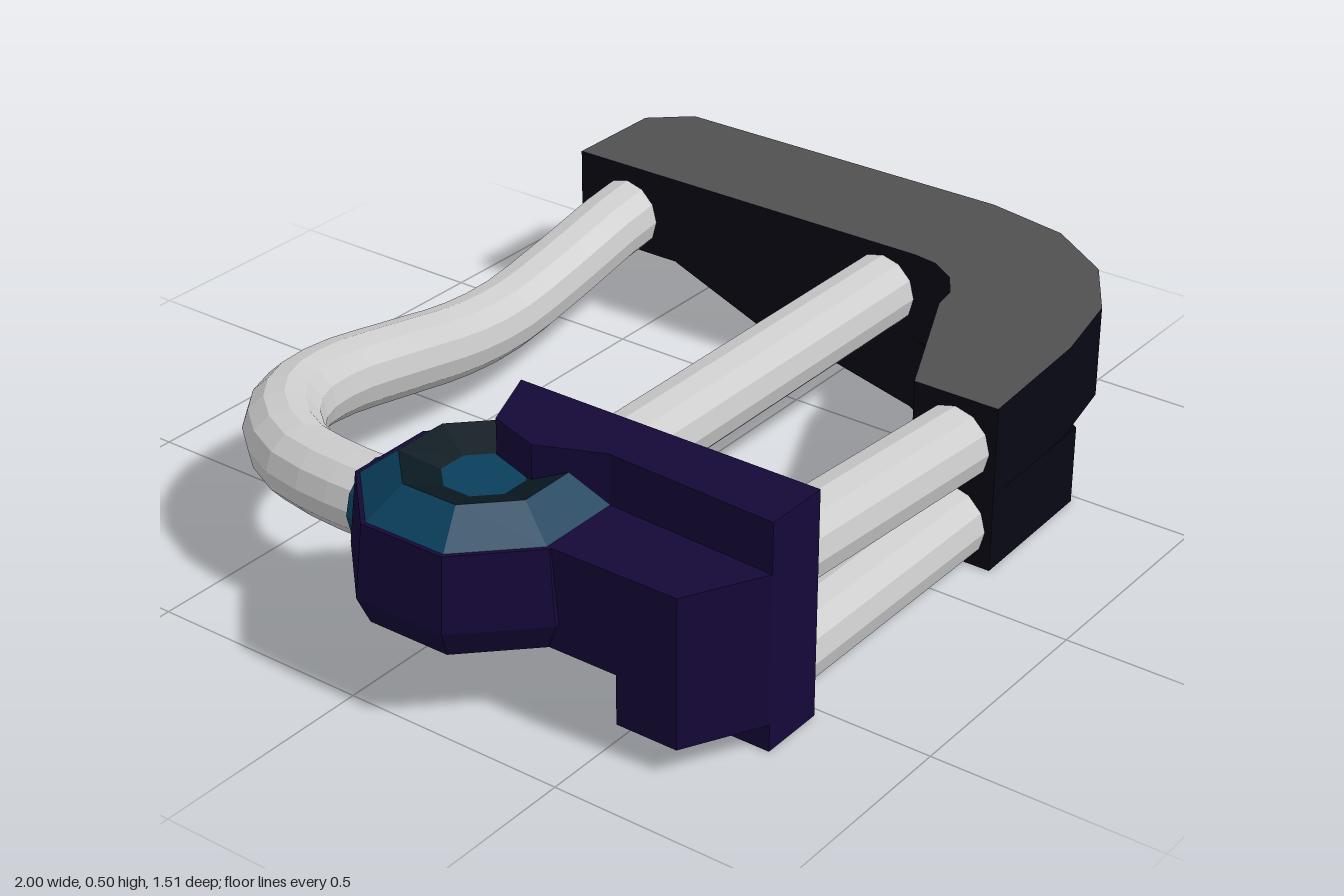
import * as THREE from 'three';

const mat = (color) => new THREE.MeshStandardMaterial({ color, flatShading: true, side: THREE.DoubleSide });
const grey = mat(0xcccccc), capGrey = mat(0x505050), dark = mat(0x070714);
const purple = mat(0x150838), teal = mat(0x0a3f5c), darkTeal = mat(0x0a1820);

export function createModel() {
  const root = new THREE.Group();
  const add = (name, geo, material) => {
    const m = new THREE.Mesh(geo, material);
    m.name = name;
    root.add(m);
    return m;
  };
  // plan outline (x, z) extruded between two heights
  const slab = (pts, y0, y1) =>
    new THREE.ExtrudeGeometry(new THREE.Shape(pts.map((p) => new THREE.Vector2(...p))), { depth: y1 - y0, bevelEnabled: false })
      .rotateX(Math.PI / 2).translate(0, y1, 0);
  // straight round bar between two points
  const bar = (name, a, b, r, material) => {
    const p = new THREE.Vector3(...a), q = new THREE.Vector3(...b);
    const m = add(name, new THREE.CylinderGeometry(r, r, p.distanceTo(q), 12), material);
    m.position.copy(p).lerp(q, 0.5);
    m.quaternion.setFromUnitVectors(new THREE.Vector3(0, 1, 0), q.sub(p).normalize());
  };

  // curved frame: grey top and bottom, dark sides
  add('frame', slab([
    [0.63, -0.72], [0.88, -0.72], [0.96, -0.63], [0.96, 0.22], [0.92, 0.42], [0.81, 0.58], [0.65, 0.68],
    [0.45, 0.72], [0.13, 0.74], [0.13, 0.54], [0.46, 0.39], [0.52, 0.38], [0.58, 0.34], [0.62, 0.28], [0.63, 0.22],
  ], 0.17, 0.38), [capGrey, dark]);

  // keel under the frame, tapering up towards the back: [outer x, z, inner x, z, bottom y]
  const stations = [
    [0.13, 0.74, 0.13, 0.54, 0], [0.48, 0.73, 0.4, 0.42, 0], [0.54, 0.65, 0.46, 0.39, 0], [0.68, 0.53, 0.54, 0.37, 0],
    [0.79, 0.24, 0.63, 0.22, 0], [0.79, -0.04, 0.63, -0.04, 0.06], [0.85, -0.04, 0.63, -0.04, 0.06],
    [0.85, -0.16, 0.63, -0.16, 0.06], [0.85, -0.44, 0.63, -0.44, 0.169],
  ];
  const strip = (edge) => {
    const pos = [], idx = [];
    stations.forEach((s, i) => {
      pos.push(...edge(s).flat());
      if (i) {
        const a = i * 2 - 2;
        idx.push(a, a + 1, a + 2, a + 1, a + 3, a + 2);
      }
    });
    const g = new THREE.BufferGeometry();
    g.setAttribute('position', new THREE.Float32BufferAttribute(pos, 3));
    g.setIndex(idx);
    g.computeVertexNormals();
    return g;
  };
  add('keelOuterSide', strip(([x, z, , , y]) => [[x, 0.18, z], [x, y, z]]), dark);
  add('keelBottom', strip(([x, z, u, w, y]) => [[x, y, z], [u, y, w]]), capGrey);
  add('keelInnerSide', strip(([, , u, w, y]) => [[u, y, w], [u, 0.18, w]]), dark);
  const end = add('keelEnd', new THREE.PlaneGeometry(0.2, 0.18), dark);
  end.rotation.y = -Math.PI / 2;
  end.position.set(0.13, 0.09, 0.64);

  // six-sided dome on the back corner of the frame, pointing diagonally out
  const knob = add('knob', new THREE.SphereGeometry(0.135, 6, 2, 0, Math.PI * 2, 0, Math.PI / 2)
    .rotateX(-Math.PI / 2).rotateY(-Math.PI / 4), grey);
  knob.scale.y = 0.89;
  knob.position.set(0.865, 0.275, -0.625);

  // straight bars
  bar('lowerFrontBar', [-0.6, 0.086, 0.64], [0.3, 0.086, 0.64], 0.085, grey);
  bar('upperFrontBar', [-0.6, 0.32, 0.64], [0.2, 0.265, 0.64], 0.085, grey);
  bar('middleBar', [-0.55, 0.27, 0.135], [0.7, 0.27, 0.135], 0.085, grey);

  // bent back bar, dipping in the middle
  const bends = [
    [0.7, 0.26, -0.583], [0.58, 0.25, -0.583], [0.38, 0.21, -0.583], [0.16, 0.175, -0.583], [0, 0.18, -0.583], [-0.2, 0.215, -0.583],
    [-0.41, 0.25, -0.583], [-0.55, 0.265, -0.555], [-0.66, 0.275, -0.48], [-0.73, 0.275, -0.37], [-0.75, 0.275, -0.24], [-0.75, 0.275, -0.05],
  ].map((p) => new THREE.Vector3(...p));
  const curve = new THREE.CatmullRomCurve3(bends, false, 'centripetal');
  add('backBar', new THREE.TubeGeometry(curve, 24, 0.085, 12), grey);

  // collars where the bars meet the hub
  bar('middleCollar', [-0.6, 0.27, 0.135], [-0.47, 0.27, 0.135], 0.09, teal);
  bar('backCollar', [-0.75, 0.275, 0], [-0.75, 0.275, -0.145], 0.09, teal);

  // octagonal hub
  const hubPart = (name, profile, material) => {
    const m = add(name, new THREE.LatheGeometry(profile.map((p) => new THREE.Vector2(...p)), 8, Math.PI / 8), material);
    m.position.set(-0.745, 0, 0.13);
  };
  hubPart('hubBody', [[0.04, 0.22], [0.08, 0.17], [0.25, 0.17], [0.277, 0.23], [0.26, 0.39], [0.245, 0.39]], purple);
  hubPart('hubBottomPlug', [[0, 0.2], [0.06, 0.2]], teal);
  hubPart('hubTopRim', [[0.25, 0.39], [0.17, 0.45]], teal);
  hubPart('hubRecess', [[0.17, 0.45], [0.085, 0.42]], darkTeal);
  hubPart('hubCentre', [[0.085, 0.42], [0, 0.42]], teal);

  // stepped clamp holding the front bars
  const outline = (back) => [[-0.84, back], [-0.84, 0.66], [-0.67, 0.75], [-0.52, 0.75], [-0.52, back]];
  add('clampBody', slab(outline(0.3), 0.17, 0.39), purple);
  add('clampStep', slab(outline(0.52), 0.06, 0.18), purple);
  add('clampFoot', slab([[-0.67, 0.56], [-0.67, 0.75], [-0.52, 0.75], [-0.52, 0.56]], 0, 0.1), purple);
  add('clampTop', slab([
    [-0.52, 0.04], [-0.67, 0.1], [-0.71, 0.22], [-0.65, 0.36], [-0.67, 0.75], [-0.52, 0.75],
  ], 0.17, 0.5), purple);

  return root;
}
